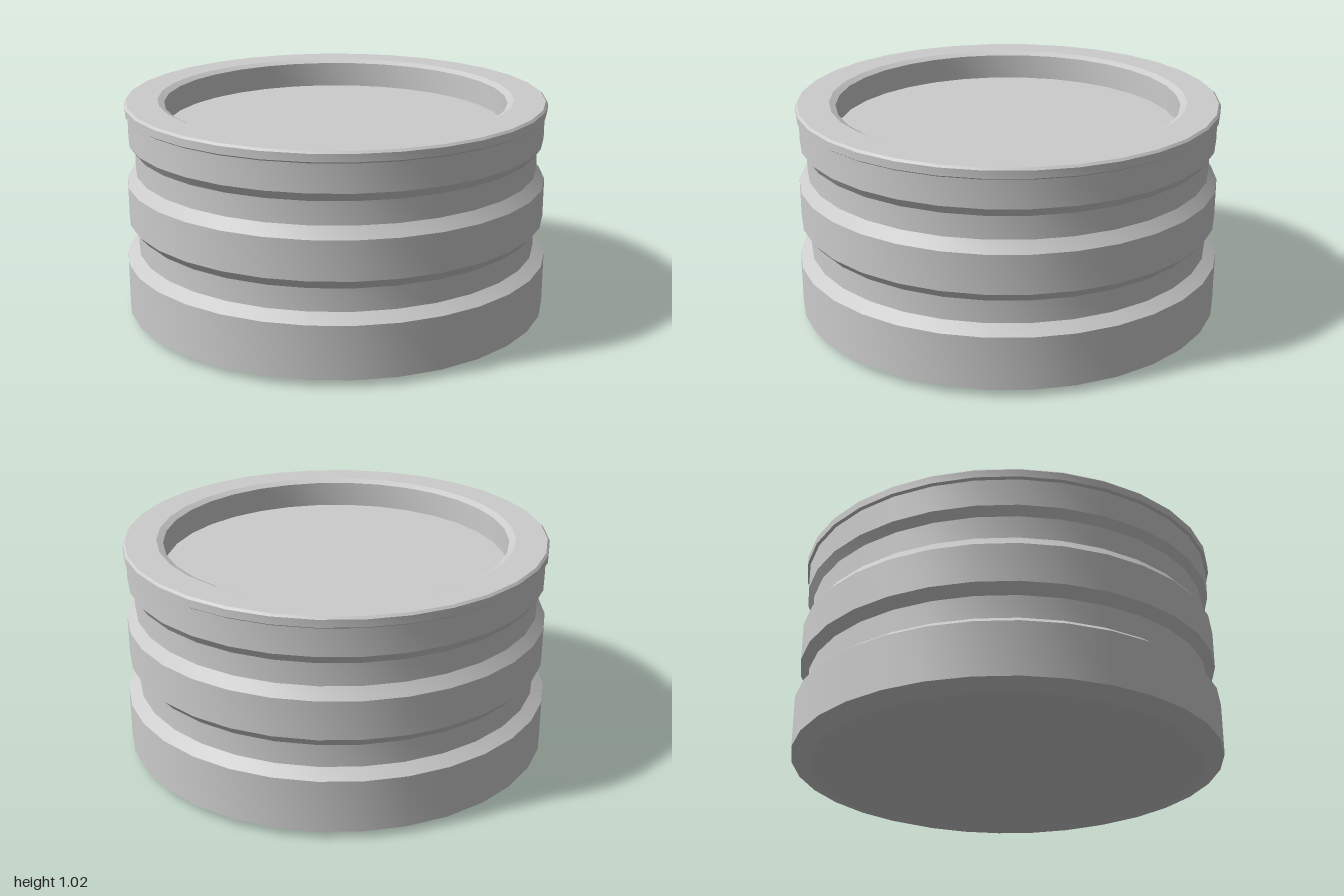
import * as THREE from 'three';
import { toCreasedNormals } from 'three/addons/utils/BufferGeometryUtils.js';

const SEGMENTS = 32;
const material = new THREE.MeshStandardMaterial({ color: 0xcccccc });

// Turns a profile of [radius, height] pairs into a named mesh with sharp rims
function turned(name, profile) {
  const points = profile.map(([r, y]) => new THREE.Vector2(r, y));
  const geometry = toCreasedNormals(new THREE.LatheGeometry(points, SEGMENTS), 0.35);
  const mesh = new THREE.Mesh(geometry, material);
  mesh.name = name;
  return mesh;
}

// Flat 32-sided disc facing up or down, with corners matching the turned parts
function disc(name, radius, y, up) {
  const mesh = new THREE.Mesh(new THREE.CircleGeometry(radius, SEGMENTS), material);
  mesh.rotation.x = up ? -Math.PI / 2 : Math.PI / 2;
  mesh.position.y = y;
  mesh.name = name;
  return mesh;
}

export function createModel() {
  const group = new THREE.Group();
  group.name = 'groovedDrum';

  group.add(
    disc('underside', 0.91, 0, false),

    // Wide foot with a chamfered lower edge
    turned('base', [[0.91, 0], [1, 0.033], [1, 0.28], [0.945, 0.32]]),

    // Lower groove, raised band and upper groove
    turned('lowerGroove', [[0.945, 0.32], [0.945, 0.425], [0.985, 0.47]]),
    turned('middleBand', [[0.985, 0.47], [0.985, 0.65], [0.945, 0.7]]),
    turned('upperGroove', [[0.945, 0.7], [0.945, 0.805], [0.973, 0.845]]),

    // Collar and thin lip around the top
    turned('collar', [[0.973, 0.845], [0.973, 0.972]]),
    turned('rim', [
      [0.973, 0.972], [0.985, 0.98], [0.985, 1.015], [0.975, 1.025],
      [0.83, 1.025], [0.8, 1.01],
    ]),

    // Shallow round recess in the top
    turned('recessWall', [[0.8, 1.01], [0.8, 0.89]]),
    disc('recessFloor', 0.8, 0.89, true),
  );
  return group;
}
